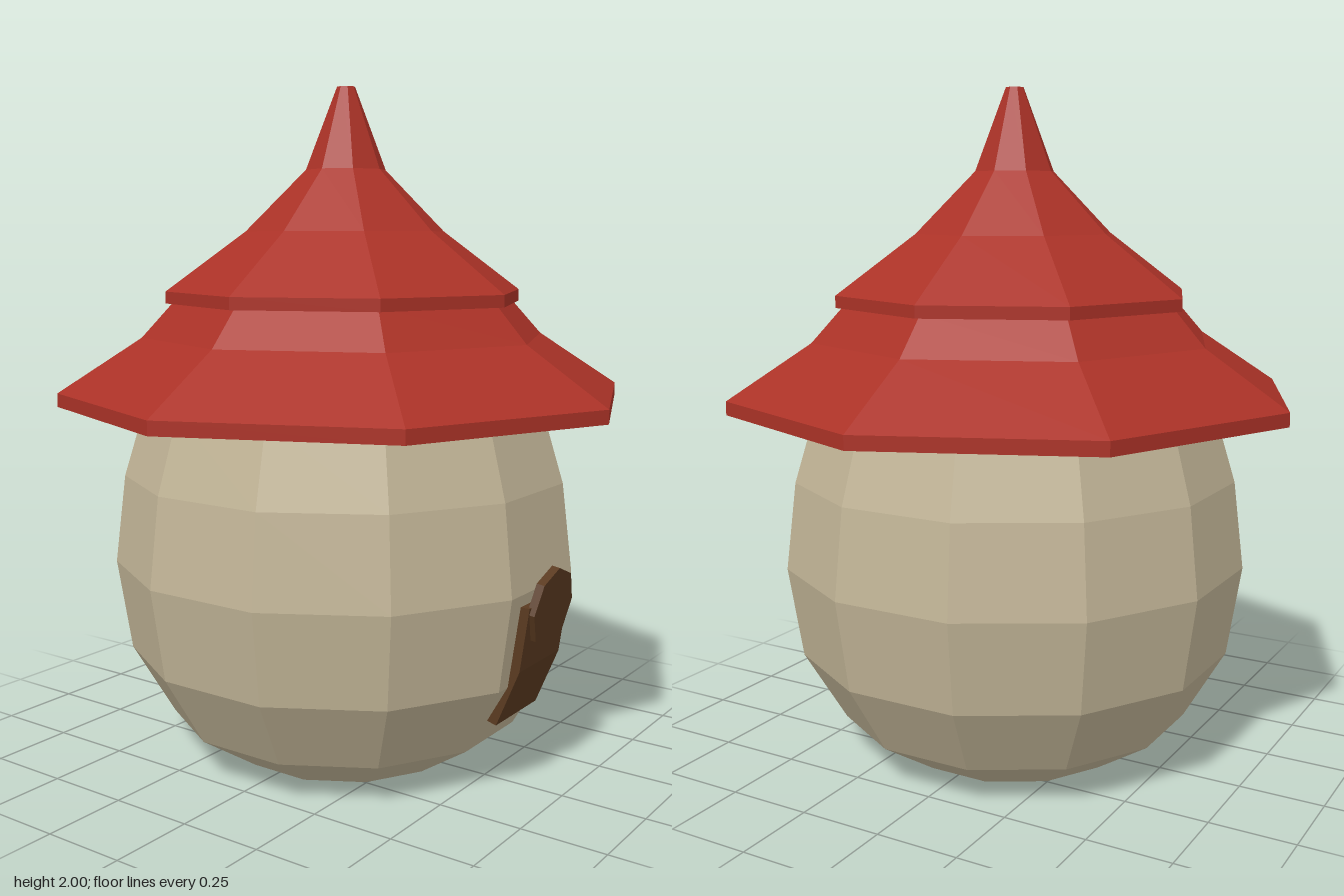
import * as THREE from 'three';

const wall = new THREE.MeshStandardMaterial({ color: 0xc2b597 });
wall.name = 'plaster';
const red = new THREE.MeshStandardMaterial({ color: 0xab3227 });
red.name = 'roof red';
const wood = new THREE.MeshStandardMaterial({ color: 0x5a3a20 });
wood.name = 'door wood';

// Faceted mesh with hard edges
function faceted(name, geometry, material) {
  const g = geometry.index ? geometry.toNonIndexed() : geometry;
  g.computeVertexNormals();
  const mesh = new THREE.Mesh(g, material);
  mesh.name = name;
  return mesh;
}

// Closed polygonal solid turned from [radius, y] points, bottom to top
function turned(name, points, sides, start, material) {
  const profile = points.map(([r, y]) => new THREE.Vector2(r, y));
  return faceted(name, new THREE.LatheGeometry(profile, sides, start), material);
}

export function createModel() {
  const group = new THREE.Group();
  group.name = 'hut';

  // Rounded twelve-sided body, one flat side facing the front
  group.add(turned('body', [
    [0, 0], [0.35, 0], [0.533, 0.12], [0.657, 0.33], [0.699, 0.6],
    [0.668, 0.86], [0.6, 1.085], [0, 1.085],
  ], 12, Math.PI / 12, wall));

  // Two stacked eight-sided roof tiers with thin eaves
  group.add(turned('lowerRoof', [
    [0, 1.07], [0.858, 1.07], [0.858, 1.11], [0.61, 1.27], [0.51, 1.38], [0, 1.38],
  ], 8, 0, red));
  group.add(turned('upperRoof', [
    [0, 1.37], [0.538, 1.37], [0.538, 1.405], [0.3, 1.58], [0.12, 1.76],
    [0.027, 2], [0, 2],
  ], 8, 0, red));

  // Door panel bent to the wall: side profile (z, y) swept across x
  const side = new THREE.Shape([
    [0.57, 0.22], [0.6, 0.212], [0.67, 0.38], [0.697, 0.565], [0.66, 0.565], [0.635, 0.38],
  ].map(([z, y]) => new THREE.Vector2(z, y)));
  const panel = new THREE.ExtrudeGeometry(side, { depth: 0.24, bevelEnabled: false });
  panel.rotateY(-Math.PI / 2);
  panel.translate(0.12, 0, 0);
  group.add(faceted('doorPanel', panel, wood));

  // Octagonal door head, leaning slightly forward
  const head = new THREE.CylinderGeometry(0.116, 0.116, 0.024, 8);
  head.rotateX(Math.PI / 2 + 0.14);
  head.translate(0, 0.545, 0.698);
  group.add(faceted('doorHead', head, wood));

  return group;
}
